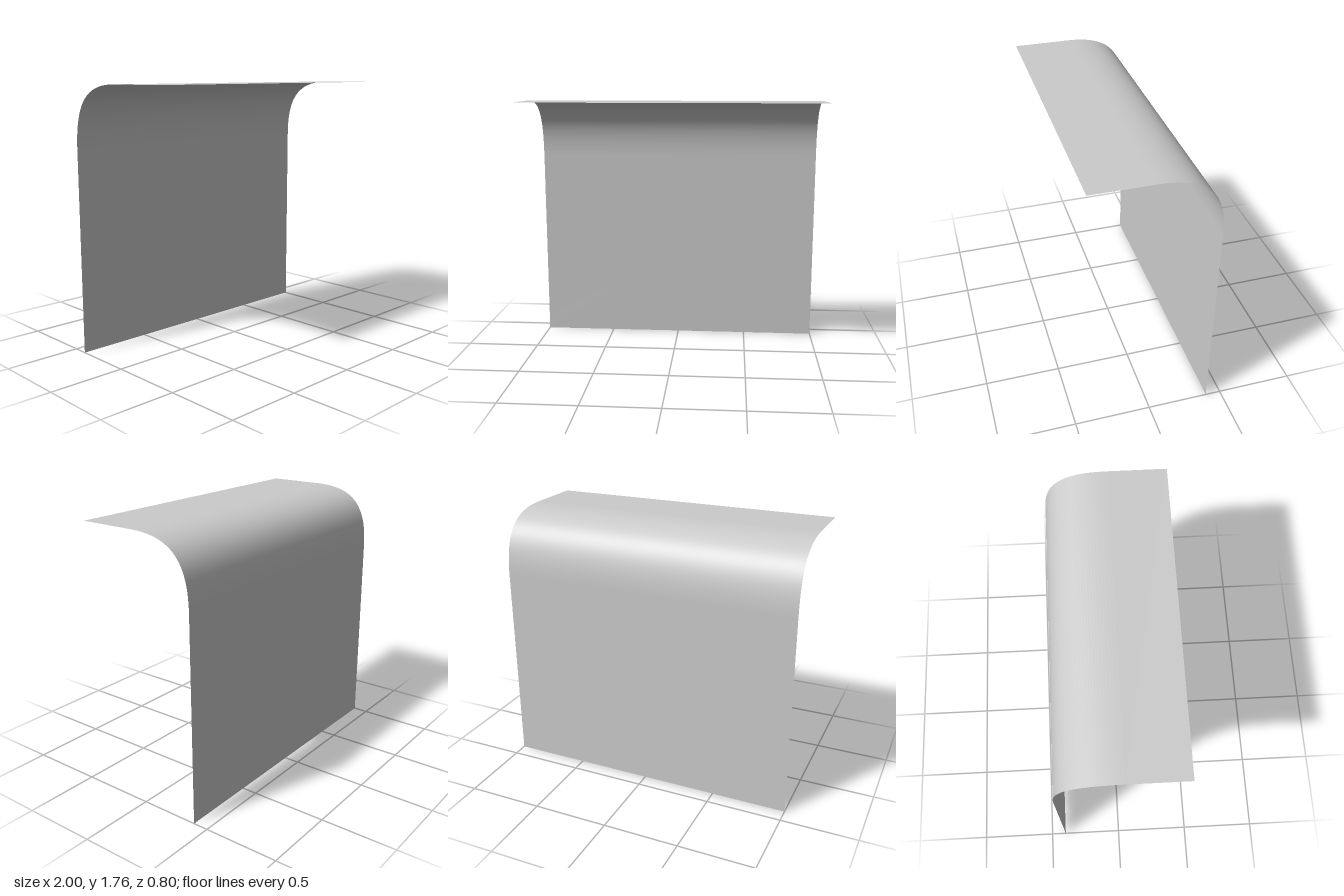
import * as THREE from 'three';

const HEIGHT = 1.76, BACK = -0.4, FRONT = 0.4;
const BEND = 0.42;          // reach of the bend along each leg
const HANDLE = BEND * 0.72; // curve handles, pulled towards the corner

// Side profile (z, y): upright back, soft bend, level top
function sheetProfile() {
  const bend = new THREE.CubicBezierCurve(
    new THREE.Vector2(BACK, HEIGHT - BEND),
    new THREE.Vector2(BACK, HEIGHT - BEND + HANDLE),
    new THREE.Vector2(BACK + BEND - HANDLE, HEIGHT),
    new THREE.Vector2(BACK + BEND, HEIGHT)
  );
  return [new THREE.Vector2(BACK, 0), ...bend.getPoints(40), new THREE.Vector2(FRONT, HEIGHT)];
}

export function createModel() {
  const group = new THREE.Group();
  group.name = 'curvedSheet';

  // Flat plane whose rows are laid along the profile
  const profile = sheetProfile();
  const rows = profile.length;
  const geometry = new THREE.PlaneGeometry(2, 1, 1, rows - 1);
  const position = geometry.attributes.position;
  for (let i = 0; i < position.count; i++) {
    const p = profile[rows - 1 - Math.floor(i / 2)];
    position.setXYZ(i, position.getX(i), p.y, p.x);
  }
  geometry.computeVertexNormals();

  const sheet = new THREE.Mesh(
    geometry,
    new THREE.MeshStandardMaterial({ color: 0xcccccc, side: THREE.DoubleSide })
  );
  sheet.name = 'bentSheet';
  group.add(sheet);
  return group;
}
